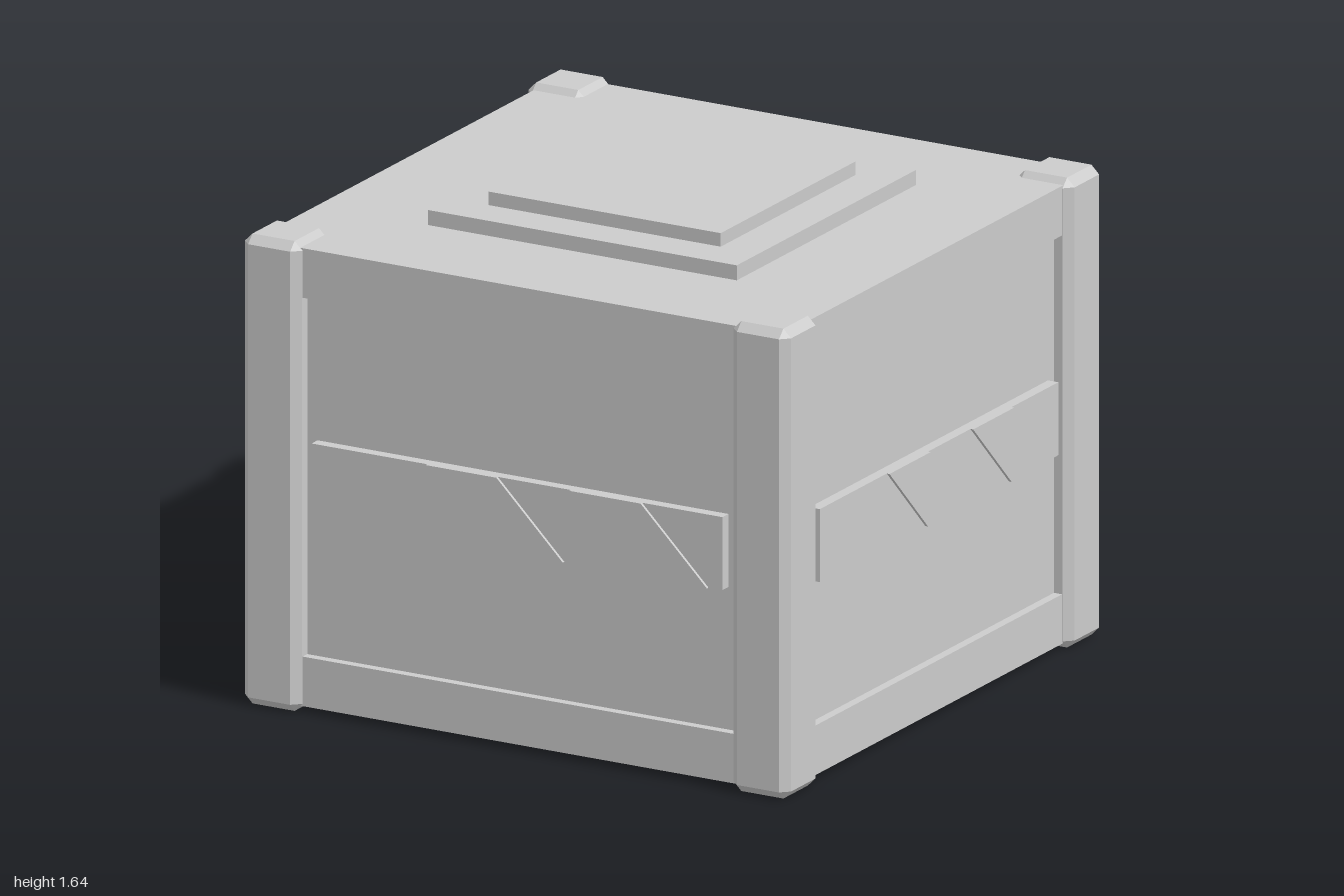
import * as THREE from 'three';
import { ConvexGeometry } from 'three/addons/geometries/ConvexGeometry.js';

const material = new THREE.MeshStandardMaterial({ color: 0xcccccc, flatShading: true });

function addMesh(parent, name, geometry, x = 0, y = 0, z = 0) {
  const mesh = new THREE.Mesh(geometry, material);
  mesh.name = name;
  mesh.position.set(x, y, z);
  parent.add(mesh);
  return mesh;
}

// Square box spanning y0..y1
function addSlab(parent, name, half, y0, y1) {
  return addMesh(parent, name, new THREE.BoxGeometry(half * 2, y1 - y0, half * 2), 0, (y0 + y1) / 2, 0);
}

// Box with all twelve edges chamfered by b
function chamferedBox(w, h, d, b) {
  const points = [];
  for (const sx of [-1, 1]) for (const sy of [-1, 1]) for (const sz of [-1, 1]) {
    const x = w / 2, y = h / 2, z = d / 2;
    points.push(
      new THREE.Vector3(sx * x, sy * (y - b), sz * (z - b)),
      new THREE.Vector3(sx * (x - b), sy * y, sz * (z - b)),
      new THREE.Vector3(sx * (x - b), sy * (y - b), sz * z)
    );
  }
  return new ConvexGeometry(points);
}

// Slanted stripe: a parallelogram leaning left at the top
function stripeGeometry(left, width, y0, y1, depth) {
  const lean = y1 - y0;
  const shape = new THREE.Shape([
    new THREE.Vector2(left + lean, y0),
    new THREE.Vector2(left + lean + width, y0),
    new THREE.Vector2(left + width, y1),
    new THREE.Vector2(left, y1),
  ]);
  return new THREE.ExtrudeGeometry(shape, { depth, bevelEnabled: false });
}

export function createModel() {
  const crate = new THREE.Group();
  crate.name = 'crate';

  // Body: recessed walls between a base and a top frame
  addSlab(crate, 'recessedWalls', 0.94, 0.19, 1.385);
  addSlab(crate, 'baseFrame', 0.97, 0.025, 0.19);
  addSlab(crate, 'topFrame', 0.97, 1.385, 1.55);

  // Stepped lid
  addSlab(crate, 'lidLower', 0.565, 1.55, 1.6);
  addSlab(crate, 'lidUpper', 0.425, 1.6, 1.645);

  // Chamfered corner posts
  const postGeometry = chamferedBox(0.21, 1.565, 0.21, 0.028);
  for (const sx of [-1, 1]) for (const sz of [-1, 1]) {
    addMesh(crate, 'cornerPost', postGeometry, sx * 0.895, 0.7875, sz * 0.895);
  }

  // Band with two raised slanted stripes on each of the four sides
  const y0 = 0.665, y1 = 0.908;
  const bandGeometry = new THREE.BoxGeometry(1.505, y1 - y0, 0.05);
  ['front', 'left', 'back', 'right'].forEach((side, i) => {
    const band = new THREE.Group();
    band.name = side + 'Band';
    addMesh(band, 'band', bandGeometry, 0, (y0 + y1) / 2, 0.953);
    for (const left of [-0.33, 0.198]) {
      addMesh(band, 'slantedStripe', stripeGeometry(left, 0.26, y0, y1, 0.028), 0, 0, 0.96);
    }
    band.rotation.y = (i * Math.PI) / 2;
    crate.add(band);
  });

  return crate;
}
